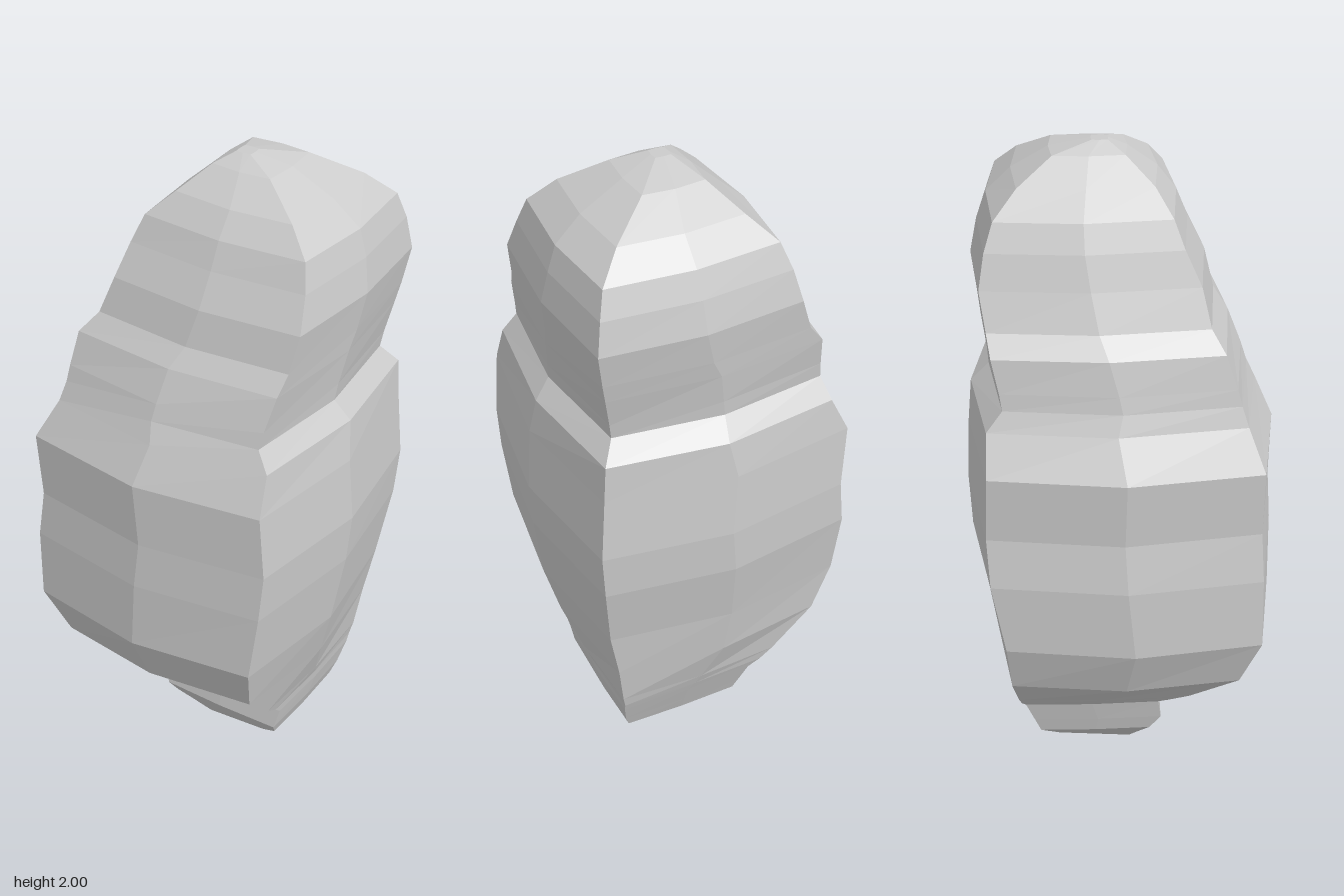
import * as THREE from 'three';

// Side profiles of the stone as [height, offset] pairs
const LEFT = [[0, -0.03], [0.1, -0.13], [0.2, -0.14], [0.25, -0.2], [0.43, -0.4], [0.57, -0.455], [0.8, -0.46],
  [0.94, -0.44], [1.15, -0.455], [1.3, -0.37], [1.48, -0.34], [1.53, -0.31], [1.55, -0.27], [1.65, -0.25],
  [1.82, -0.2], [1.9, -0.11], [1.99, -0.01], [2, 0.02]];
const RIGHT = [[0, -0.02], [0.05, 0.2], [0.09, 0.26], [0.17, 0.29], [0.24, 0.3], [0.4, 0.36], [0.6, 0.415],
  [0.9, 0.455], [1.0, 0.45], [1.26, 0.43], [1.33, 0.375], [1.38, 0.38], [1.65, 0.42], [1.82, 0.39],
  [1.9, 0.3], [1.97, 0.17], [2, 0.07]];
const FRONT = [[0, 0.03], [0.14, 0.13], [0.22, 0.12], [0.28, 0.22], [0.4, 0.35], [0.43, 0.41], [0.58, 0.46],
  [0.8, 0.46], [1.0, 0.45], [1.15, 0.455], [1.36, 0.36], [1.44, 0.35], [1.49, 0.31], [1.55, 0.27],
  [1.65, 0.25], [1.75, 0.2], [1.87, 0.15], [1.99, 0], [2, -0.03]];
const BACK = [[0, 0.02], [0.05, -0.2], [0.09, -0.26], [0.24, -0.32], [0.4, -0.38], [0.6, -0.41], [0.8, -0.45],
  [0.9, -0.46], [1.1, -0.455], [1.28, -0.44], [1.32, -0.385], [1.38, -0.39], [1.65, -0.43], [1.75, -0.41],
  [1.86, -0.37], [1.97, -0.2], [2, -0.08]];
const LEVELS = [0, 0.05, 0.09, 0.14, 0.21, 0.24, 0.28, 0.42, 0.58, 0.8, 0.95, 1.15, 1.27, 1.33, 1.38,
  1.48, 1.54, 1.65, 1.75, 1.83, 1.9, 1.97, 2];
// How far the corners reach compared with the bulging face middles
const CORNER = [[0, 0.98], [0.24, 0.97], [0.45, 0.87], [1.2, 0.87], [1.5, 0.91], [2, 0.92]];

function sample(profile, y) {
  for (let i = 1; i < profile.length; i++) {
    const [y0, v0] = profile[i - 1], [y1, v1] = profile[i];
    if (y <= y1) return THREE.MathUtils.lerp(v0, v1, (y - y0) / (y1 - y0));
  }
  return profile.at(-1)[1];
}

// Eight points: four corners with a bulged point between each pair
function ring(y) {
  const l = sample(LEFT, y), r = sample(RIGHT, y), f = sample(FRONT, y), b = sample(BACK, y);
  const cx = (l + r) / 2, cz = (f + b) / 2, k = sample(CORNER, y);
  const inX = (x) => cx + (x - cx) * k, inZ = (z) => cz + (z - cz) * k;
  return [
    [inX(l), y, inZ(f)], [cx, y, f], [inX(r), y, inZ(f)], [r, y, cz],
    [inX(r), y, inZ(b)], [cx, y, b], [inX(l), y, inZ(b)], [l, y, cz],
  ];
}

export function createModel() {
  const points = LEVELS.flatMap((y) => ring(y));
  const faces = [];
  const n = 8, last = (LEVELS.length - 1) * n;
  for (let i = 0; i < LEVELS.length - 1; i++) {
    for (let j = 0; j < n; j++) {
      const a = i * n + j, b = i * n + (j + 1) % n;
      faces.push(a, b, b + n, a, b + n, a + n);
    }
  }
  // Top and bottom caps
  for (let j = 1; j < n - 1; j++) {
    faces.push(0, j + 1, j, last, last + j, last + j + 1);
  }
  const indexed = new THREE.BufferGeometry();
  indexed.setAttribute('position', new THREE.Float32BufferAttribute(points.flat(), 3));
  indexed.setIndex(faces);
  const geometry = indexed.toNonIndexed();
  geometry.computeVertexNormals();

  const stone = new THREE.Mesh(geometry, new THREE.MeshStandardMaterial({ color: 0xcccccc, flatShading: true }));
  stone.name = 'standingStone';
  const group = new THREE.Group();
  group.name = 'rock';
  group.add(stone);
  return group;
}
